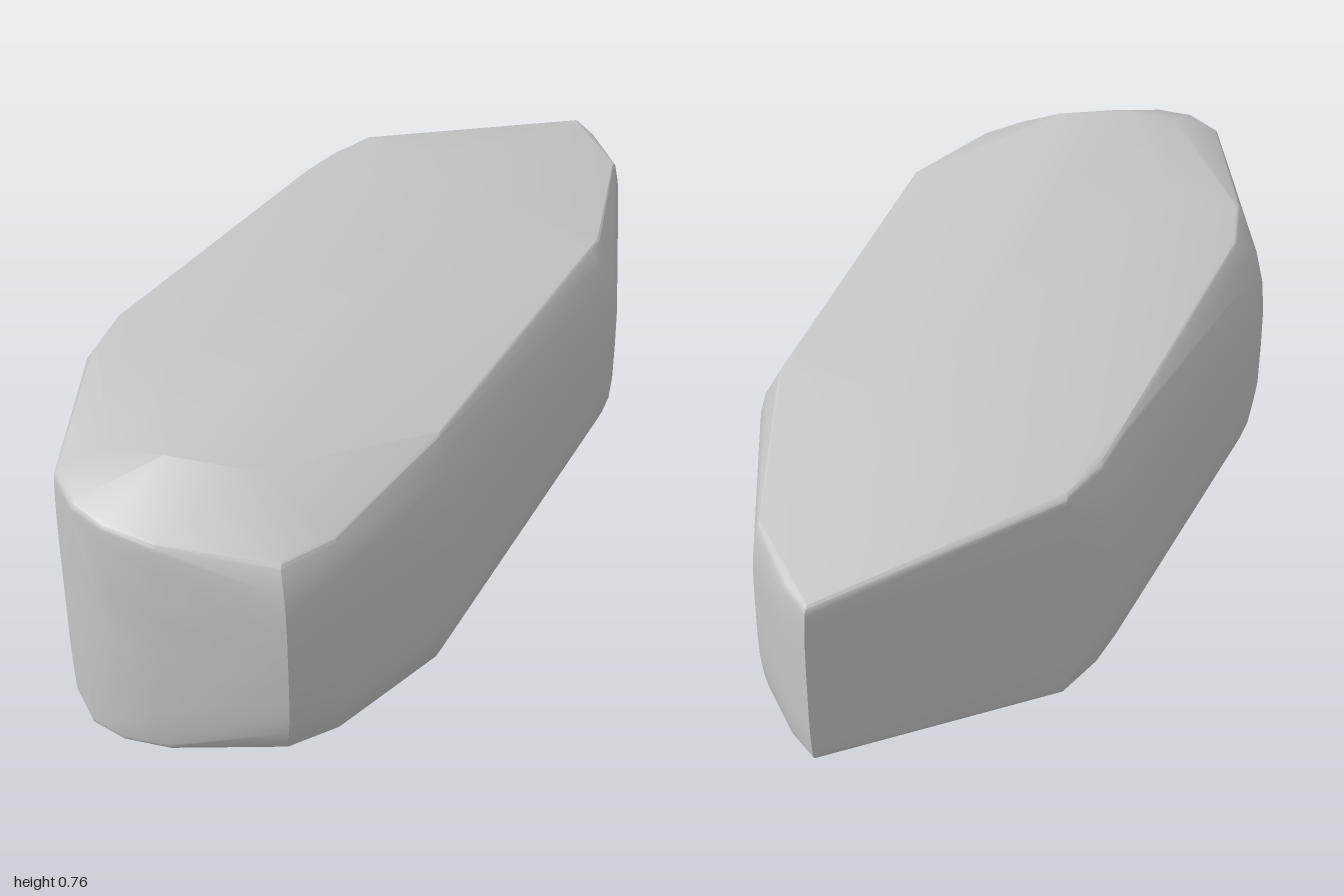
import * as THREE from 'three';
import { ConvexGeometry } from 'three/addons/geometries/ConvexGeometry.js';
import { toCreasedNormals } from 'three/addons/utils/BufferGeometryUtils.js';

const MID = 0.38; // the stone is mirrored above and below this height
const ROUND = 0.022; // radius of the softened rim

// Wall corners: x, z at mid height, then x, z and half height at the rim
const walls = [
  [-1, 0.25, -1, 0.25, 0.32],
  [-0.98, 0.14, -0.975, 0.14, 0.325],
  [-0.985, 0.34, -0.98, 0.34, 0.31],
  [-0.93, 0.44, -0.92, 0.44, 0.295],
  [-0.74, 0.645, -0.73, 0.615, 0.265],
  [-0.6, 0.655, -0.6, 0.625, 0.275],
  [-0.25, 0.585, -0.26, 0.535, 0.325],
  [0.53, 0.2, 0.515, 0.142, 0.295],
  [0.57, 0.18, 0.555, 0.122, 0.292],
  [0.61, 0.136, 0.595, 0.085, 0.285],
  [0.91, -0.2, 0.9, -0.21, 0.23],
  [0.98, -0.37, 0.975, -0.38, 0.212],
  [1, -0.47, 0.995, -0.47, 0.208],
  [0.42, -0.65, 0.42, -0.645, 0.275],
  [0.3, -0.66, 0.29, -0.625, 0.28],
  [0.2, -0.63, 0.18, -0.585, 0.29],
  [-0.57, -0.35, -0.57, -0.275, 0.32],
  [-0.64, -0.31, -0.7, -0.175, 0.33],
];

// Crown points: x, z and half height
const crown = [
  [-0.8, 0.3, 0.38],
  [-0.87, 0.2, 0.365],
  [-0.68, 0.43, 0.367],
  [-0.6, 0, 0.354],
  [0.43, -0.2, 0.32],
  [0.5, -0.42, 0.297],
];

export function createModel() {
  const stoneGrey = new THREE.MeshStandardMaterial({ color: 0xc5c5c5 });
  stoneGrey.name = 'stoneGrey';

  const points = [];
  for (const side of [-1, 1]) {
    const add = (x, h, z) => points.push(new THREE.Vector3(x, MID + side * h, z));
    for (const [x, z, rimX, rimZ, h] of walls) {
      // Walls bulge gently and curl inwards towards the rim
      for (const f of [0, 0.35, 0.6, 0.8, 0.92, 1]) {
        const t = f ** 4;
        add(THREE.MathUtils.lerp(x, rimX, t), f * (h - ROUND), THREE.MathUtils.lerp(z, rimZ, t));
      }
      // Small arc that rounds the rim over to the crown
      const reach = Math.hypot(rimX, rimZ);
      for (const a of [0.4, 0.8, 1.2, Math.PI / 2]) {
        const s = 1 - ROUND * (1 - Math.cos(a)) / reach;
        add(rimX * s, h - ROUND * (1 - Math.sin(a)), rimZ * s);
      }
    }
    for (const [x, z, h] of crown) add(x, h, z);
  }

  const stone = new THREE.Mesh(toCreasedNormals(new ConvexGeometry(points), 0.42), stoneGrey);
  stone.name = 'stone';

  const model = new THREE.Group();
  model.name = 'smoothStone';
  model.add(stone);
  return model;
}
